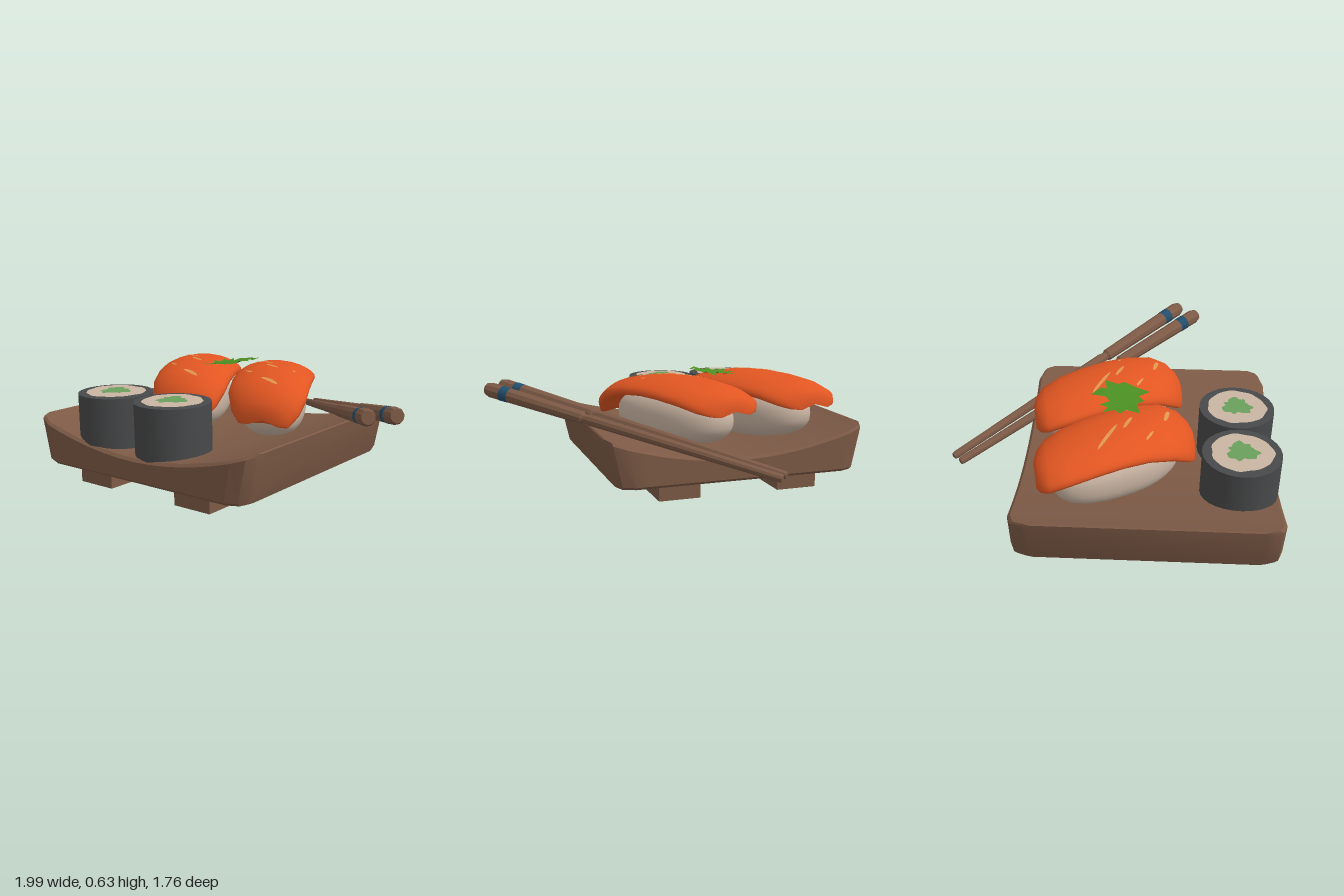
import * as THREE from 'three';
import { toCreasedNormals } from 'three/addons/utils/BufferGeometryUtils.js';

const mat = (name, color, side = THREE.FrontSide) => {
  const m = new THREE.MeshStandardMaterial({ color, side });
  m.name = name;
  return m;
};

// Skin a list of equal-length rings and close both ends
function loft(rings, crease) {
  const n = rings[0].length, pos = [], idx = [];
  rings.forEach(r => r.forEach(p => pos.push(...p)));
  for (let i = 0; i < rings.length - 1; i++)
    for (let j = 0; j < n; j++) {
      const a = i * n + j, b = i * n + (j + 1) % n;
      idx.push(a, b, b + n, a, b + n, a + n);
    }
  [0, rings.length - 1].forEach(i => {
    const c = pos.length / 3;
    pos.push(...[0, 1, 2].map(k => rings[i].reduce((s, p) => s + p[k], 0) / n));
    for (let j = 0; j < n; j++) {
      const a = i * n + j, b = i * n + (j + 1) % n;
      idx.push(...(i ? [c, a, b] : [c, b, a]));
    }
  });
  const g = new THREE.BufferGeometry();
  g.setAttribute('position', new THREE.Float32BufferAttribute(pos, 3));
  g.setIndex(idx);
  return toCreasedNormals(g, crease);
}

// Fish slice stations: z, half width, top height, half thickness
const SLICE = [
  [-0.445, 0.09, 0.50, 0.02], [-0.425, 0.145, 0.53, 0.036], [-0.38, 0.19, 0.553, 0.04],
  [-0.28, 0.215, 0.58, 0.04], [-0.14, 0.224, 0.598, 0.04], [0, 0.226, 0.605, 0.04],
  [0.14, 0.225, 0.598, 0.042], [0.28, 0.22, 0.57, 0.05], [0.37, 0.19, 0.525, 0.06],
  [0.42, 0.145, 0.475, 0.055], [0.44, 0.09, 0.44, 0.03],
];
const SHEAR = 0.3, DROOP = 0.045, POW = 0.7;

function sliceGeometry() {
  const spow = v => Math.sign(v) * Math.abs(v) ** POW;
  return loft(SLICE.map(([z, w, top, th]) => Array.from({ length: 28 }, (_, j) => {
    const a = j / 28 * Math.PI * 2, c = spow(Math.cos(a));
    return [w * c, top - th + th * spow(Math.sin(a)) - DROOP * c * c, z + SHEAR * w * c];
  })), 1.2);
}

// Point on the upper face of the slice
function sliceTop(x, z) {
  const i = Math.max(0, SLICE.findIndex(s => s[0] > z) - 1);
  const t = (z - SLICE[i][0]) / (SLICE[i + 1][0] - SLICE[i][0]);
  const [w, top, th] = [1, 2, 3].map(k => THREE.MathUtils.lerp(SLICE[i][k], SLICE[i + 1][k], t));
  const c = Math.min(1, Math.abs(x / w));
  const s = Math.sqrt(1 - c ** (2 / POW)) ** POW;
  return [x, top - th + th * s - DROOP * c * c + 0.004, z + SHEAR * x];
}

// Tapered streak lying on the slice
function streakGeometry(x, z, dx, dz, width) {
  const pos = [], idx = [], n = 8, len = Math.hypot(dx, dz);
  for (let i = 0; i <= n; i++) {
    const t = i / n - 0.5, w = width * Math.sqrt(Math.max(0, 1 - 4 * t * t)) / 2;
    for (const s of [1, -1])
      pos.push(...sliceTop(x + dx * t + s * w * dz / len, z + dz * t - s * w * dx / len));
    if (i < n) idx.push(2 * i, 2 * i + 1, 2 * i + 2, 2 * i + 1, 2 * i + 3, 2 * i + 2);
  }
  const g = new THREE.BufferGeometry();
  g.setAttribute('position', new THREE.Float32BufferAttribute(pos, 3));
  g.setIndex(idx);
  g.computeVertexNormals();
  // make the lit side face up
  if (g.attributes.normal.getY(6) < 0) { g.setIndex(idx.reverse()); g.computeVertexNormals(); }
  return g;
}

// Flat disc with an uneven rim
function wobblyDisc(r, amp, phase) {
  const pts = Array.from({ length: 48 }, (_, i) => {
    const a = i / 48 * Math.PI * 2;
    const d = r + amp * (Math.sin(3 * a + phase) + 0.6 * Math.sin(7 * a) + 0.5 * Math.sin(11 * a + phase)) / 2;
    return new THREE.Vector2(Math.cos(a) * d, Math.sin(a) * d);
  });
  return new THREE.ShapeGeometry(new THREE.Shape(pts)).rotateX(-Math.PI / 2);
}

export function createModel() {
  const wood = mat('wood', 0x7d5a46);
  const fish = mat('salmonOrange', 0xe25622);
  const streakMat = mat('paleStreak', 0xdf9650, THREE.DoubleSide);
  const rice = mat('rice', 0xcab5a3);
  const seaweed = mat('seaweed', 0x48494a);
  const filling = mat('fillingGreen', 0x6a9f5c);
  const leafMat = mat('leafGreen', 0x4c9022, THREE.DoubleSide);
  const blue = mat('bandBlue', 0x24506e);

  const model = new THREE.Group();
  const add = (parent, name, geo, m, x = 0, y = 0, z = 0) => {
    const mesh = new THREE.Mesh(geo, m);
    mesh.name = name;
    mesh.position.set(x, y, z);
    parent.add(mesh);
    return mesh;
  };

  // Tray: dished top, flared ends, clipped corners
  const half = [[0, 0.675], [0.15, 0.675], [0.3, 0.675], [0.45, 0.675], [0.6, 0.675], [0.75, 0.675],
    [0.87, 0.675], [0.965, 0.648], [0.99, 0.6], [1, 0.57]];
  const stations = [...half.slice(1).reverse().map(([u, w]) => [-u, w]), ...half];
  add(model, 'tray', loft(stations.map(([u, w]) => {
    const c = 0.015, b = 0.09, t = 0.22 + 0.13 * u * u - (Math.abs(u) === 1 ? 0.008 : 0);
    const ring = [[t, w - c], [t - c, w], [b + c, w], [b, w - c], [b, c - w], [b + c, -w], [t - c, -w], [t, c - w]];
    return ring.map(([y, z]) => [-0.2625 + u * (0.68 + 0.0575 * (y - 0.09) / 0.26), y, 0.2 + z]);
  }), 0.4), wood);

  // Two runners under the tray
  for (const x of [-0.605, 0.075])
    add(model, 'trayFoot', new THREE.BoxGeometry(0.23, 0.1, 1.22), wood, x, 0.05, 0.2);

  // Two rice pads draped with fish
  const padGeo = new THREE.SphereGeometry(1, 32, 20);
  const p = padGeo.attributes.position;
  for (let i = 0; i < p.count; i++) {
    const [x, y, z] = [p.getX(i), p.getY(i), p.getZ(i)].map(v => Math.sign(v) * Math.abs(v) ** 0.85);
    p.setXYZ(i, x * 0.185, y * 0.155, z * 0.36 + SHEAR * x * 0.185);
  }
  padGeo.computeVertexNormals();
  const fishGeo = sliceGeometry();
  const streaks = [[-0.06, -0.06, 0.13, 0.13, 0.022], [0.0, 0.06, 0.075, 0.06, 0.022],
    [0.015, 0.286, 0.1, 0.045, 0.024], [0.128, 0.08, 0.02, 0.015, 0.016], [-0.12, 0.16, 0.05, 0.05, 0.014]]
    .map(s => streakGeometry(...s));
  for (const [x, z] of [[-0.525, 0.04], [-0.025, -0.022]]) {
    const nigiri = new THREE.Group();
    nigiri.name = 'fishOnRice';
    nigiri.position.set(x, 0, z);
    nigiri.rotation.y = 0.49;
    add(nigiri, 'ricePad', padGeo, rice, 0, 0.375, 0);
    add(nigiri, 'fishSlice', fishGeo, fish);
    streaks.forEach(g => add(nigiri, 'fishStreak', g, streakMat));
    model.add(nigiri);
  }

  // Two seaweed rolls
  [-0.575, -0.165].forEach((x, i) => {
    const roll = new THREE.Group();
    roll.name = 'roll';
    roll.position.set(x, 0, 0.667);
    add(roll, 'seaweedWrap', new THREE.CylinderGeometry(0.2, 0.2, 0.285, 28), seaweed, 0, 0.3525, 0);
    add(roll, 'rollRice', wobblyDisc(0.157, 0.008, i), rice, 0, 0.499, 0);
    add(roll, 'rollFilling', wobblyDisc(0.075, 0.022, 1 + i * 0.4), filling, 0, 0.503, 0);
    model.add(roll);
  });

  // Jagged garnish leaf, tips curling up
  const outline = [[-0.24, -0.11], [-0.2, -0.06], [-0.195, -0.03], [-0.14, -0.04], [-0.15, 0.01], [-0.17, 0.03],
    [-0.14, 0.06], [-0.175, 0.1], [-0.18, 0.13], [-0.22, 0.2], [-0.25, 0.14], [-0.3, 0.17], [-0.31, 0.135],
    [-0.4, 0.15], [-0.365, 0.08], [-0.41, 0.05], [-0.37, 0.02], [-0.4, -0.04], [-0.35, -0.015], [-0.34, -0.06],
    [-0.3, -0.01], [-0.275, -0.03]];
  const leafGeo = new THREE.ShapeGeometry(new THREE.Shape(outline.map(([x, z]) => new THREE.Vector2(x, -z))))
    .rotateX(-Math.PI / 2);
  const lp = leafGeo.attributes.position;
  for (let i = 0; i < lp.count; i++) {
    const x = lp.getX(i) + 0.27, z = lp.getZ(i) - 0.04;
    lp.setY(i, 0.608 + 0.12 * x + (i % 2 ? 0.006 : -0.004) - 0.3 * z * z);
  }
  leafGeo.computeVertexNormals();
  add(model, 'garnishLeaf', leafGeo, leafMat);

  // Two chopsticks leaning on the tray edge
  for (const [tip, end] of [[[-0.295, 0.205, -0.87], [0.965, 0.515, 0.37]], [[-0.34, 0.205, -0.825], [0.87, 0.515, 0.475]]]) {
    const a = new THREE.Vector3(...tip), d = new THREE.Vector3(...end).sub(a), L = d.length();
    const stick = new THREE.Group();
    stick.name = 'chopstick';
    stick.position.copy(a);
    stick.quaternion.setFromUnitVectors(new THREE.Vector3(0, 1, 0), d.normalize());
    const j = L * 0.635;
    const profile = [[0, 0], [0.017, 0], [0.021, 0.012], [0.031, j - 0.03], [0.026, j - 0.012], [0.026, j + 0.006],
      [0.035, j + 0.016], [0.043, L - 0.03], [0.034, L], [0, L]].map(q => new THREE.Vector2(...q));
    add(stick, 'chopstickShaft', toCreasedNormals(new THREE.LatheGeometry(profile, 10), 0.45), wood);
    add(stick, 'chopstickBand', new THREE.CylinderGeometry(0.0435, 0.0425, 0.055, 10, 1, true), blue, 0, L - 0.13, 0);
    model.add(stick);
  }
  return model;
}
